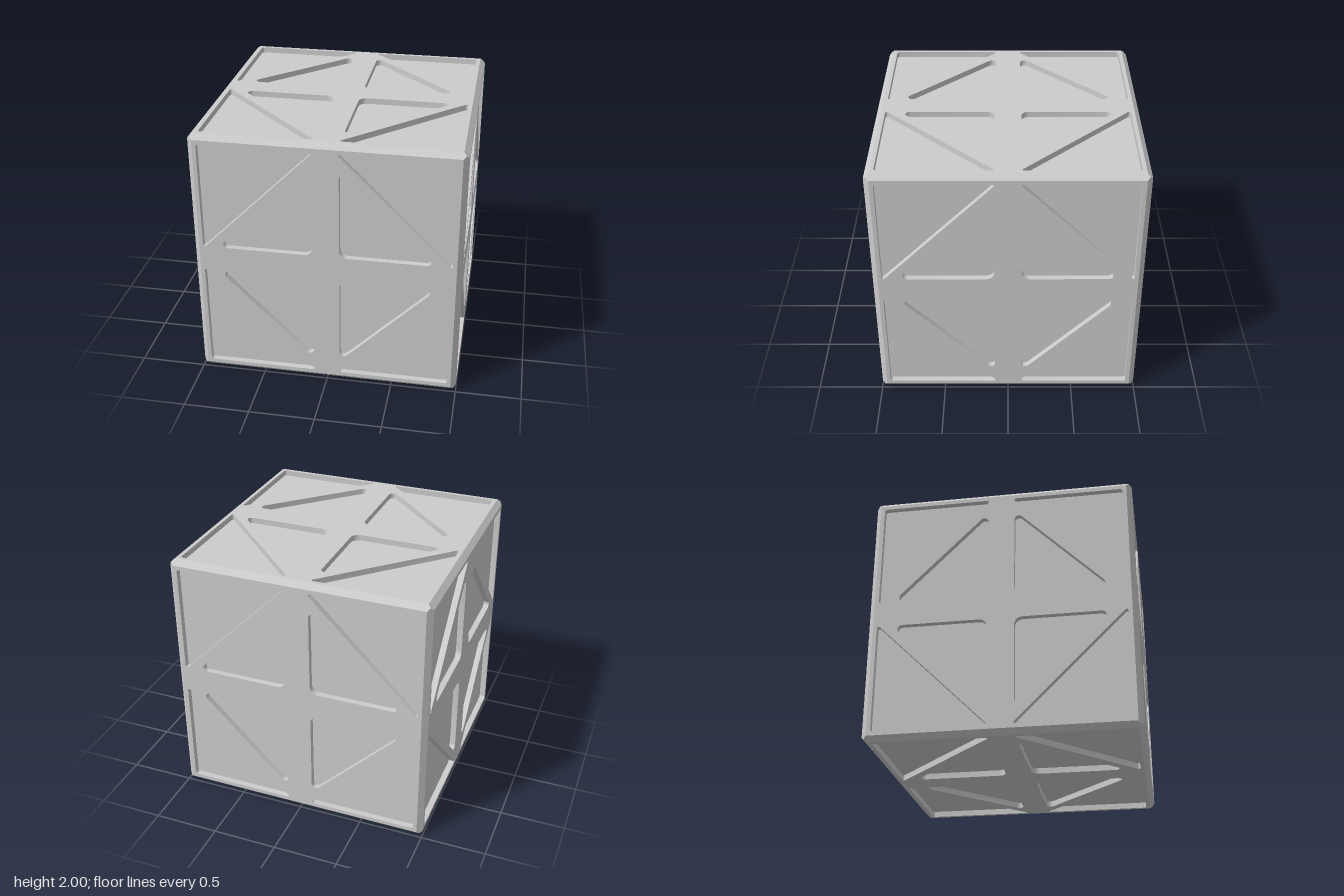
import * as THREE from 'three';
import { mergeGeometries, toCreasedNormals } from 'three/addons/utils/BufferGeometryUtils.js';

const HALF = 1;        // half the cube
const BEVEL = 0.04;    // chamfer along the edges
const DEPTH = 0.045;   // depth of the recesses
const FLAT = HALF - BEVEL;

// Counter-clockwise triangle with rounded corners; each corner is [x, y, radius]
function roundedTriangle(corners, steps = 6) {
  const points = [];
  corners.forEach(([x, y, r], i) => {
    const p = new THREE.Vector2(x, y);
    const toward = (c) => new THREE.Vector2(c[0], c[1]).sub(p).normalize();
    const a = toward(corners[(i + 2) % 3]);
    const b = toward(corners[(i + 1) % 3]);
    const half = Math.acos(a.dot(b)) / 2;
    const centre = a.clone().add(b).normalize().multiplyScalar(r / Math.sin(half)).add(p);
    const start = a.clone().multiplyScalar(r / Math.tan(half)).add(p).sub(centre).angle();
    const sweep = Math.PI - 2 * half;
    for (let k = 0; k <= steps; k++) {
      const t = start + (sweep * k) / steps;
      points.push(new THREE.Vector2(centre.x + r * Math.cos(t), centre.y + r * Math.sin(t)));
    }
  });
  return points;
}

// Geometry from polygons, each split as a fan
function polygons(list) {
  const pos = [];
  for (const poly of list)
    for (let i = 1; i < poly.length - 1; i++) pos.push(...poly[0], ...poly[i], ...poly[i + 1]);
  const geo = new THREE.BufferGeometry();
  geo.setAttribute('position', new THREE.Float32BufferAttribute(pos, 3));
  geo.computeVertexNormals();
  return geo;
}

// The eight recess outlines: an outer and an inner triangle in each quadrant
function recessOutlines() {
  const outer = roundedTriangle([[0.93, 0.083, 0.012], [0.93, 0.93, 0.02], [0.083, 0.93, 0.012]]);
  const inner = roundedTriangle([[0.1, 0.1, 0.06], [0.82, 0.1, 0.033], [0.1, 0.82, 0.033]]);
  const origin = new THREE.Vector2();
  const outlines = [];
  for (let q = 0; q < 4; q++)
    for (const tri of [outer, inner])
      outlines.push(tri.map((p) => p.clone().rotateAround(origin, (q * Math.PI) / 2)));
  return outlines;
}

export function createModel() {
  const model = new THREE.Group();
  model.name = 'panelledCube';
  const material = new THREE.MeshStandardMaterial({ color: 0xcccccc });
  const outlines = recessOutlines();

  // Face frame with the eight openings
  const square = new THREE.Shape([[-1, -1], [1, -1], [1, 1], [-1, 1]]
    .map(([x, y]) => new THREE.Vector2(x * FLAT, y * FLAT)));
  square.holes = outlines.map((o) => new THREE.Path(o.slice().reverse()));
  const frameGeo = new THREE.ShapeGeometry(square).translate(0, 0, HALF);

  // Recess floors and walls
  const floorGeo = mergeGeometries(outlines.map((o) => new THREE.ShapeGeometry(new THREE.Shape(o))))
    .translate(0, 0, HALF - DEPTH);
  const wallQuads = outlines.flatMap((o) => o.map((p, i) => {
    const n = o[(i + 1) % o.length];
    return [[p.x, p.y, HALF], [n.x, n.y, HALF], [n.x, n.y, HALF - DEPTH], [p.x, p.y, HALF - DEPTH]];
  }));
  const wallGeo = toCreasedNormals(polygons(wallQuads), 0.5);

  // Six identical faces
  const turns = [['front', 0, 0], ['left', 0, 1], ['back', 0, 2], ['right', 0, 3], ['top', -1, 0], ['bottom', 1, 0]];
  for (const [name, rx, ry] of turns) {
    const face = new THREE.Group();
    face.name = name + 'Face';
    for (const [part, geo] of [['frame', frameGeo], ['recessFloors', floorGeo], ['recessWalls', wallGeo]]) {
      const mesh = new THREE.Mesh(geo, material);
      mesh.name = part;
      face.add(mesh);
    }
    face.rotation.set((rx * Math.PI) / 2, (ry * Math.PI) / 2, 0);
    face.position.y = HALF;
    model.add(face);
  }

  // Chamfer strip with mitred ends, four around each axis
  const tip = HALF - BEVEL / 2;
  const strip = polygons([[
    [FLAT, HALF, FLAT], [tip, tip, tip], [HALF, FLAT, FLAT],
    [HALF, FLAT, -FLAT], [tip, tip, -tip], [FLAT, HALF, -FLAT],
  ]]);
  const ring = mergeGeometries([0, 1, 2, 3].map((k) => strip.clone().rotateZ((k * Math.PI) / 2)));
  const chamferGeo = mergeGeometries([
    ring, ring.clone().rotateX(Math.PI / 2), ring.clone().rotateY(Math.PI / 2),
  ]);
  const chamfers = new THREE.Mesh(chamferGeo, material);
  chamfers.name = 'edgeChamfers';
  chamfers.position.y = HALF;
  model.add(chamfers);

  return model;
}
